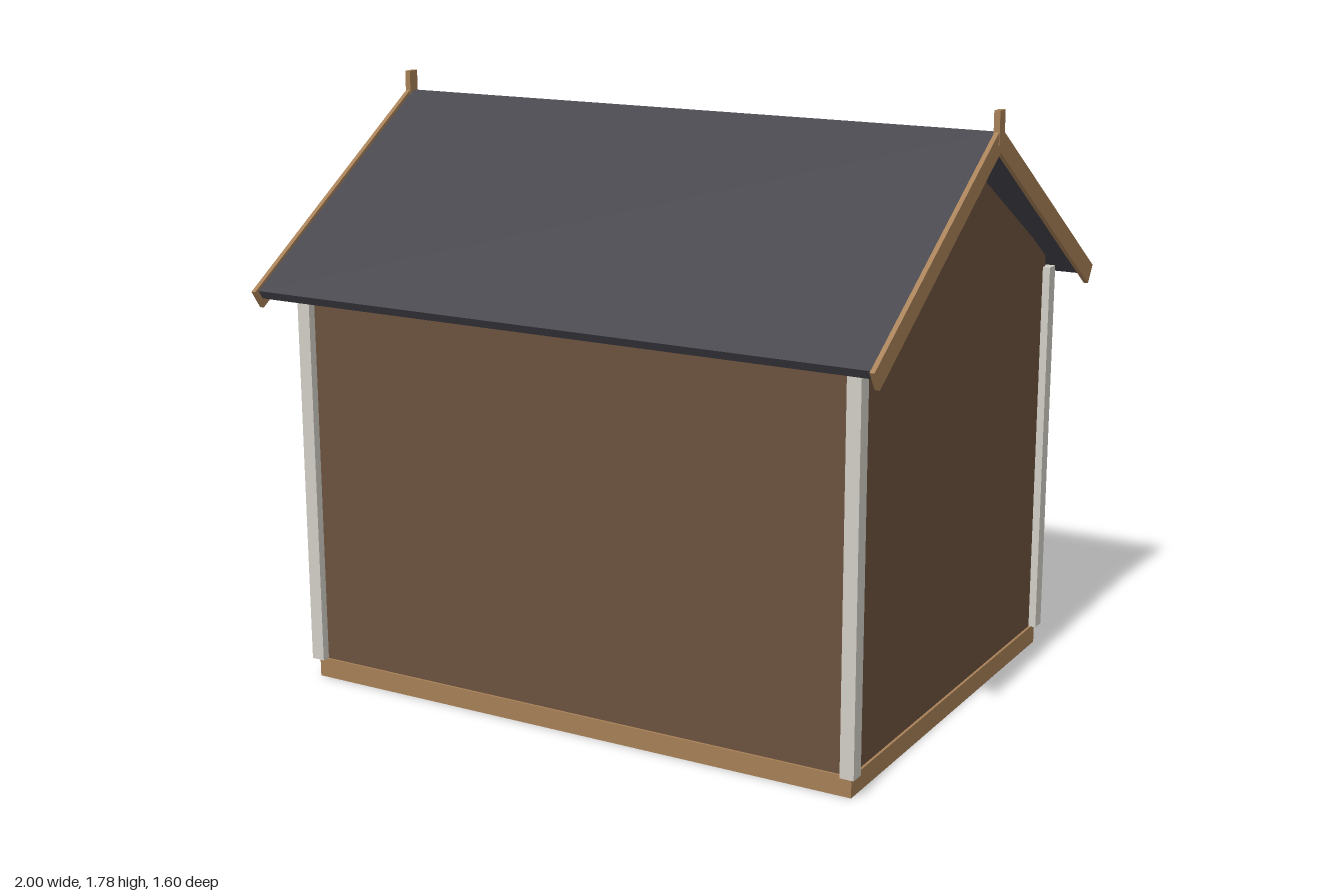
import * as THREE from 'three';

const mat = (name, color) => {
  const m = new THREE.MeshStandardMaterial({ color });
  m.name = name;
  return m;
};

export function createModel() {
  const wallBrown = mat('wall brown', 0x6b513d);
  const timber = mat('light timber', 0xa67f56);
  const trim = mat('off white trim', 0xd0cdc4);
  const felt = mat('roof felt', 0x45444b);
  const green = mat('door green', 0x3c5f4a);
  const glass = mat('dark glass', 0x3f3f48);
  const iron = mat('black iron', 0x222224);

  const model = new THREE.Group();
  model.name = 'gardenShed';

  const group = (name) => {
    const g = new THREE.Group();
    g.name = name;
    model.add(g);
    return g;
  };
  const add = (parent, name, geometry, material) => {
    const m = new THREE.Mesh(geometry, material);
    m.name = name;
    parent.add(m);
    return m;
  };
  // Box given by its limits on each axis
  const box = (parent, name, material, [x0, x1], [y0, y1], [z0, z1]) => {
    const m = add(parent, name, new THREE.BoxGeometry(x1 - x0, y1 - y0, z1 - z0), material);
    m.position.set((x0 + x1) / 2, (y0 + y1) / 2, (z0 + z1) / 2);
    return m;
  };
  // Symmetric end profile, listed as half [z, y] points, swept along x
  const sweep = (parent, name, material, half, x0, x1) => {
    const mirrored = half.filter(p => p[0] > 0).map(([z, y]) => [-z, y]).reverse();
    const apexFirst = [...half, ...mirrored];
    const shape = new THREE.Shape(apexFirst.map(p => new THREE.Vector2(p[0], p[1])));
    const g = new THREE.ExtrudeGeometry(shape, { depth: x1 - x0, bevelEnabled: false });
    g.rotateY(Math.PI / 2);
    g.translate(x0, 0, 0);
    return add(parent, name, g, material);
  };

  // Floor and walls
  box(model, 'floorBase', timber, [-0.9, 0.9], [0, 0.06], [-0.677, 0.677]);
  box(model, 'walls', wallBrown, [-0.892, 0.892], [0.06, 1.265], [-0.67, 0.67]);

  // Gables, corner posts, barge boards and finials
  for (const s of [-1, 1]) {
    const span = (a, b) => (s > 0 ? [a, b] : [-b, -a]);
    sweep(model, 'gable', wallBrown, [[0, 1.65], [0.67, 1.265]], ...span(0.862, 0.892));
    for (const t of [-1, 1]) {
      const zs = t > 0 ? [0.65, 0.695] : [-0.695, -0.65];
      box(model, 'cornerPost', trim, span(0.873, 0.915), [0.06, 1.225], zs);
    }
    for (const t of [-1, 1]) {
      const board = new THREE.Shape([[0, 1.737], [0, 1.668], [t * 0.765, 1.165], [t * 0.8, 1.217]]
        .map(p => new THREE.Vector2(...p)));
      const g = new THREE.ExtrudeGeometry(board, { depth: 0.014, bevelEnabled: false });
      g.rotateY(Math.PI / 2);
      g.translate(span(0.984, 0.998)[0], 0, 0);
      add(model, 'bargeBoard', g, timber);
    }
    box(model, 'finial', timber, span(0.982, 1.0), [1.69, 1.785], [-0.019, 0.019]);
  }

  // Two roof slopes meeting at the ridge
  const roofProfile = new THREE.Shape([[0, 1.725], [0, 1.692], [0.768, 1.193], [0.785, 1.218]]
    .map(p => new THREE.Vector2(...p)));
  for (const t of [-1, 1]) {
    const g = new THREE.ExtrudeGeometry(roofProfile, { depth: 1.968, bevelEnabled: false });
    g.translate(0, 0, -0.984);
    g.rotateY(t * Math.PI / 2);
    add(model, 'roofSlope', g, felt);
  }

  // Door: panel, frame, battens and brace
  const door = group('door');
  const dx0 = -0.56, dx1 = 0.032;
  box(door, 'doorPanel', green, [dx0 + 0.02, dx1 - 0.02], [0.062, 1.1], [-0.683, -0.665]);
  box(door, 'frameSide', trim, [dx0, dx0 + 0.028], [0.048, 1.12], [-0.693, -0.66]);
  box(door, 'frameSide', trim, [dx1 - 0.028, dx1], [0.048, 1.12], [-0.693, -0.66]);
  box(door, 'frameTop', trim, [dx0, dx1], [1.09, 1.12], [-0.693, -0.66]);
  for (const y of [0.18, 0.535, 0.935]) {
    box(door, 'batten', green, [-0.51, -0.02], [y, y + 0.075], [-0.698, -0.68]);
  }
  const brace = add(door, 'brace', new THREE.BoxGeometry(0.54, 0.045, 0.014), green);
  brace.position.set(-0.265, 0.395, -0.689);
  brace.rotation.z = Math.atan2(0.28, 0.46);

  // Strap hinges and latch
  for (const y of [0.295, 0.858]) {
    box(door, 'hinge', iron, [-0.54, -0.335], [y - 0.009, y + 0.009], [-0.706, -0.68]);
  }
  box(door, 'latchPlate', iron, [-0.055, -0.025], [0.533, 0.612], [-0.704, -0.69]);
  box(door, 'latchHandle', iron, [-0.046, -0.034], [0.55, 0.595], [-0.711, -0.7]);

  // Window: glass, frame, glazing bars and sill
  const win = group('window');
  const wx0 = 0.19, wx1 = 0.69, wy0 = 0.48, wy1 = 0.92, f = 0.03;
  const wz = [-0.697, -0.66];
  box(win, 'glassPane', glass, [wx0 + 0.01, wx1 - 0.01], [wy0 + 0.01, wy1 - 0.01], [-0.678, -0.669]);
  for (const x of [wx0, wx1 - f]) box(win, 'frameSide', trim, [x, x + f], [wy0, wy1], wz);
  for (const y of [wy0, wy1 - f]) box(win, 'frameRail', trim, [wx0 + f, wx1 - f], [y, y + f], wz);
  box(win, 'barUpright', trim, [0.43, 0.45], [wy0 + f, wy1 - f], [-0.692, -0.66]);
  box(win, 'barCross', trim, [wx0 + f, wx1 - f], [0.69, 0.71], [-0.691, -0.66]);
  box(win, 'sill', trim, [0.16, 0.72], [0.473, 0.49], [-0.75, -0.66]);

  return model;
}
